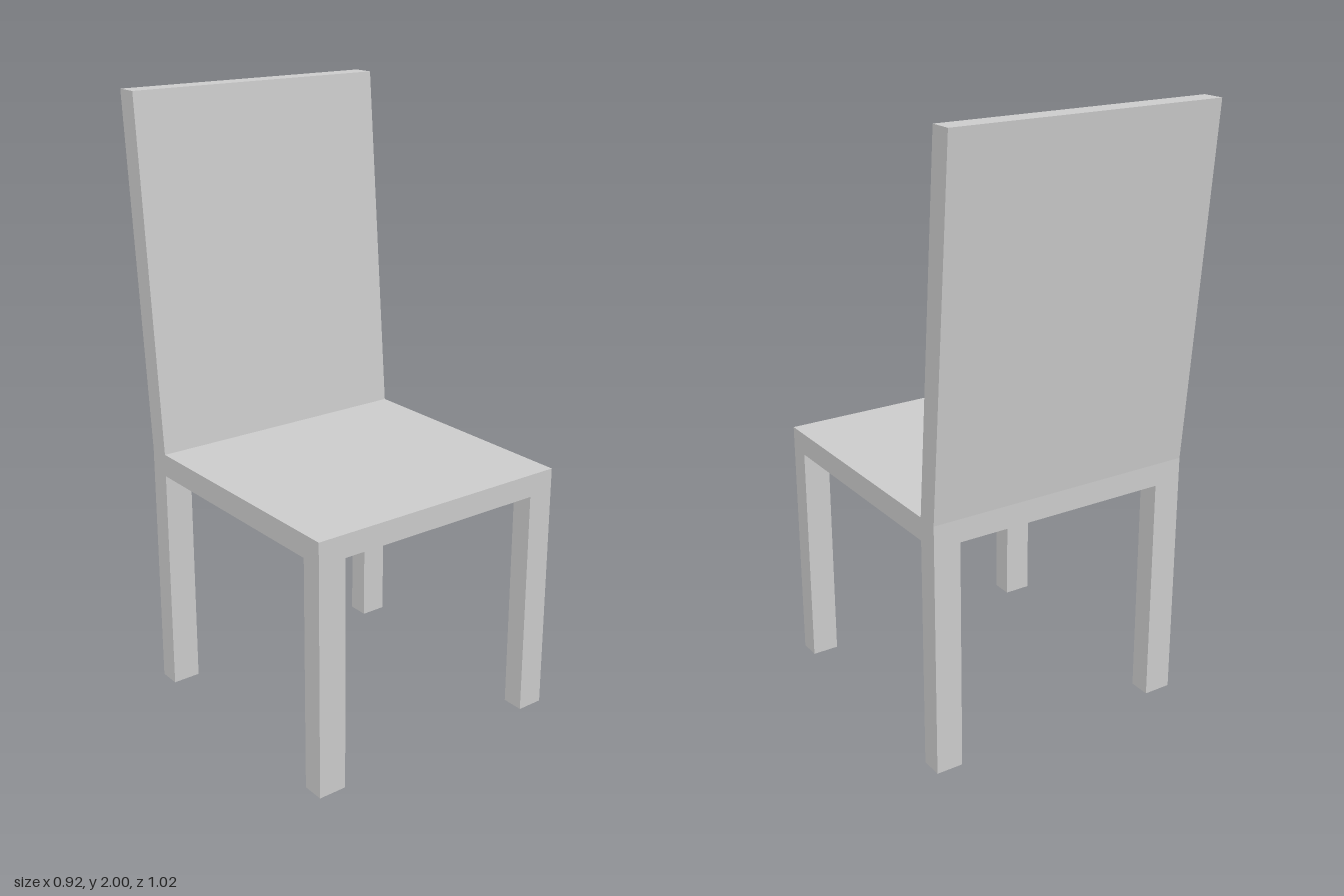
import * as THREE from 'three';

const HALF_W = 0.46;
const SEAT_BOTTOM = 0.77, SEAT_TOP = 0.845;
const FRONT = 0.51, FRONT_INNER = 0.437;  // front leg depth range
const REAR_INNER = -0.335, REAR = -0.408; // rear leg depth range

export function createModel() {
  const group = new THREE.Group();
  const material = new THREE.MeshStandardMaterial({ color: 0xcccccc, flatShading: true });

  const add = (name, geometry) => {
    const mesh = new THREE.Mesh(geometry, material);
    mesh.name = name;
    group.add(mesh);
  };

  // Box given by its limits on each axis
  const addBox = (name, [x0, x1], [y0, y1], [z0, z1]) => {
    const geometry = new THREE.BoxGeometry(x1 - x0, y1 - y0, z1 - z0);
    geometry.translate((x0 + x1) / 2, (y0 + y1) / 2, (z0 + z1) / 2);
    add(name, geometry);
  };

  // Seat slab
  addBox('seat', [-HALF_W, HALF_W], [SEAT_BOTTOM, SEAT_TOP], [REAR, FRONT]);

  // Four square legs, flush with the seat edges
  const sides = { Left: [0.37, HALF_W], Right: [-HALF_W, -0.365] };
  for (const [side, xRange] of Object.entries(sides)) {
    addBox('frontLeg' + side, xRange, [0, SEAT_BOTTOM], [FRONT_INNER, FRONT]);
    addBox('rearLeg' + side, xRange, [0, SEAT_BOTTOM], [REAR, REAR_INNER]);
  }

  // Backrest: leaning side profile (z, y) extruded across the width
  const profile = new THREE.Shape([
    new THREE.Vector2(REAR, SEAT_TOP),
    new THREE.Vector2(REAR_INNER, SEAT_TOP),
    new THREE.Vector2(-0.435, 2),
    new THREE.Vector2(-0.51, 2),
  ]);
  const back = new THREE.ExtrudeGeometry(profile, { depth: 2 * HALF_W, bevelEnabled: false });
  back.rotateY(-Math.PI / 2);
  back.translate(HALF_W, 0, 0);
  add('backrest', back);

  return group;
}
